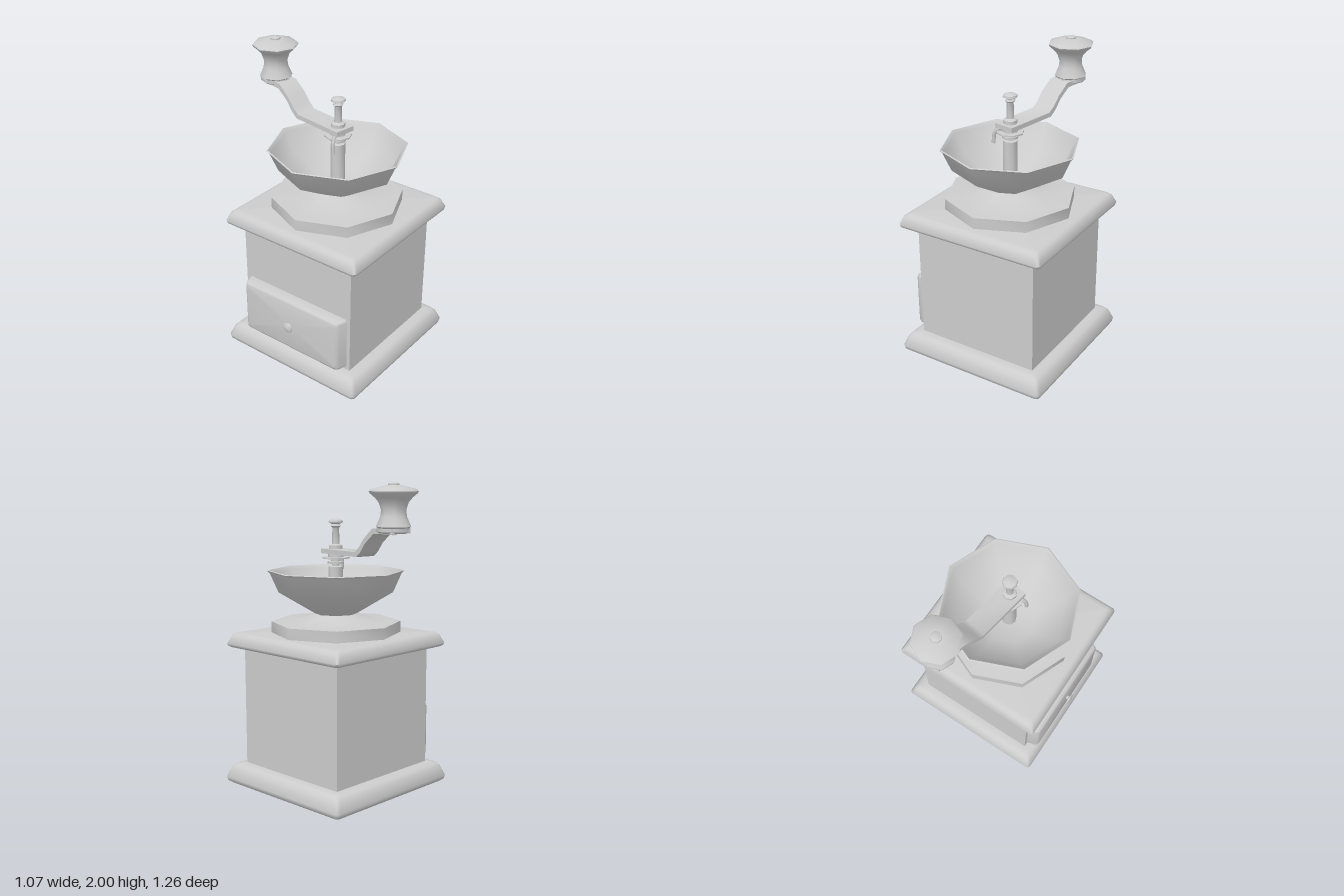
import * as THREE from 'three';
import { toCreasedNormals } from 'three/addons/utils/BufferGeometryUtils.js';

const grey = new THREE.MeshStandardMaterial({ color: 0xcccccc, side: THREE.DoubleSide });
const CREASE = 0.9; // keeps octagons smooth, right angles sharp
const CZ = 0.1;     // depth of the main axis

function add(parent, name, geometry, x = 0, y = 0, z = 0) {
  const mesh = new THREE.Mesh(geometry, grey);
  mesh.name = name;
  mesh.position.set(x, y, z);
  parent.add(mesh);
  return mesh;
}

// Turned part with few sides; profile of [radius, y] from bottom to top
function turned(profile, sides = 8) {
  const pts = profile.map(([r, y]) => new THREE.Vector2(r, y));
  return toCreasedNormals(new THREE.LatheGeometry(pts, sides), CREASE);
}

// Skin over rounded rectangles; rings of [halfX, halfZ, y]
function loft(rings, radius = 0.025) {
  const pos = [], index = [];
  const steps = 3, n = 4 * (steps + 1);
  for (const [hx, hz, y] of rings) {
    const r = Math.min(radius, hx, hz);
    for (let c = 0; c < 4; c++) {
      const sx = c === 0 || c === 3 ? 1 : -1, sz = c < 2 ? 1 : -1;
      for (let k = 0; k <= steps; k++) {
        const a = (c + k / steps) * Math.PI / 2;
        pos.push(sx * (hx - r) + r * Math.cos(a), y, sz * (hz - r) + r * Math.sin(a));
      }
    }
  }
  for (let j = 0; j < rings.length - 1; j++) {
    for (let i = 0; i < n; i++) {
      const a = j * n + i, b = j * n + (i + 1) % n;
      index.push(a, a + n, b, b, a + n, b + n);
    }
  }
  const g = new THREE.BufferGeometry();
  g.setAttribute('position', new THREE.Float32BufferAttribute(pos, 3));
  g.setIndex(index);
  return toCreasedNormals(g, CREASE);
}
const square = (profile) => loft(profile.map(([h, y]) => [h, h, y]));

export function createModel() {
  const model = new THREE.Group();
  model.name = 'coffeeGrinder';

  // Hollow base frame
  add(model, 'baseFrame', square([
    [0.425, 0.135], [0.45, 0.02], [0.47, 0.002], [0.505, 0], [0.525, 0.015],
    [0.53, 0.04], [0.505, 0.105], [0.485, 0.128], [0.45, 0.137], [0.424, 0.137],
  ]), 0, 0, CZ);

  // Four walls; the drawer wall has an opening
  const half = 0.425, bottom = 0.1, top = 0.94;
  for (let i = 0; i < 4; i++) {
    const wall = new THREE.Shape([
      new THREE.Vector2(-half, bottom), new THREE.Vector2(half, bottom),
      new THREE.Vector2(half, top), new THREE.Vector2(-half, top),
    ]);
    if (i === 3) {
      wall.holes.push(new THREE.Path([
        new THREE.Vector2(-0.37, 0.17), new THREE.Vector2(-0.37, 0.51),
        new THREE.Vector2(0.37, 0.51), new THREE.Vector2(0.37, 0.17),
      ]));
    }
    const g = new THREE.ShapeGeometry(wall).translate(0, 0, half).rotateY(i * Math.PI / 2);
    add(model, i === 3 ? 'drawerWall' : 'wall', g, 0, 0, CZ);
  }

  // Drawer front and its knob, facing -x
  const drawer = new THREE.Group();
  drawer.name = 'drawer';
  drawer.position.set(-half, 0.34, CZ);
  drawer.rotation.z = Math.PI / 2;
  add(drawer, 'drawerFront', loft([
    [0.187, 0.4, 0], [0.187, 0.385, 0.05], [0.18, 0.375, 0.07],
    [0.165, 0.36, 0.077], [0.001, 0.001, 0.077],
  ], 0.02));
  add(drawer, 'drawerKnob', turned([
    [0, 0.06], [0.018, 0.06], [0.014, 0.09], [0.036, 0.095], [0.034, 0.104], [0.015, 0.112], [0, 0.113],
  ]));
  model.add(drawer);

  // Top slab
  add(model, 'topSlab', square([
    [0.001, 0.93], [0.495, 0.93], [0.51, 0.938], [0.515, 0.955],
    [0.492, 1.008], [0.475, 1.022], [0.45, 1.027], [0.001, 1.027],
  ]), 0, 0, CZ);

  // Octagonal collar and hopper
  add(model, 'collar', turned([
    [0.425, 1.02], [0.425, 1.1], [0.28, 1.107], [0.2, 1.13], [0.135, 1.155],
  ]), 0, 0, CZ);
  add(model, 'hopper', turned([
    [0.135, 1.15], [0.375, 1.29], [0.43, 1.415], [0.447, 1.432], [0.438, 1.436],
    [0.42, 1.415], [0.362, 1.297], [0.17, 1.18], [0, 1.18],
  ]), 0, 0, CZ);

  // Central post, washers and finial
  add(model, 'post', turned([
    [0.047, 1.17], [0.047, 1.46], [0.025, 1.465], [0.025, 1.48], [0.053, 1.48], [0.053, 1.493],
    [0.03, 1.495], [0.03, 1.51], [0.088, 1.512], [0.088, 1.521], [0.05, 1.522], [0.05, 1.545],
    [0.045, 1.575], [0.045, 1.597], [0.024, 1.607], [0.022, 1.71], [0.034, 1.722],
    [0.025, 1.735], [0.047, 1.745], [0.044, 1.758], [0.02, 1.768], [0, 1.769],
  ]), 0, 0, CZ);

  // Bent stop hook beside the post
  const hookPath = new THREE.CatmullRomCurve3([
    new THREE.Vector3(-0.02, 1.532, 0.11), new THREE.Vector3(-0.07, 1.53, 0.125),
    new THREE.Vector3(-0.093, 1.5, 0.135), new THREE.Vector3(-0.098, 1.435, 0.14),
  ]);
  add(model, 'stopHook', new THREE.TubeGeometry(hookPath, 8, 0.013, 5));

  // Crank arm: side outline swept across its width
  const outline = [
    [-0.065, 1.545], [0.31, 1.545], [0.35, 1.575], [0.4, 1.635], [0.48, 1.695], [0.66, 1.702],
    [0.66, 1.733], [0.47, 1.728], [0.385, 1.662], [0.335, 1.605], [0.295, 1.575], [-0.065, 1.575],
  ];
  const armShape = new THREE.Shape(outline.map(([s, y]) => new THREE.Vector2(s, y)));
  const armGeometry = new THREE.ExtrudeGeometry(armShape, { depth: 0.14, bevelEnabled: false });
  armGeometry.translate(0, 0, -0.07);
  const arm = add(model, 'crankArm', toCreasedNormals(armGeometry, CREASE), 0, 0, CZ);
  arm.rotation.y = Math.atan2(0.58, 0.098);

  // Handle at the end of the crank
  const hx = 0.098, hz = -0.478;
  add(model, 'armEnd', turned([
    [0, 1.702], [0.085, 1.702], [0.1, 1.712], [0.1, 1.733], [0, 1.735],
  ]), hx, 0, hz);
  add(model, 'rivet', turned([[0, 1.692], [0.022, 1.692], [0.022, 1.71]]), hx, 0, hz);
  add(model, 'handleGrip', turned([
    [0, 1.727], [0.09, 1.727], [0.106, 1.742], [0.08, 1.8], [0.075, 1.84], [0.09, 1.885], [0.112, 1.912],
    [0.142, 1.937], [0.149, 1.95], [0.138, 1.962], [0.05, 1.985], [0.034, 1.985],
    [0.034, 1.994], [0.02, 2], [0, 2],
  ]), hx, 0, hz);

  return model;
}
